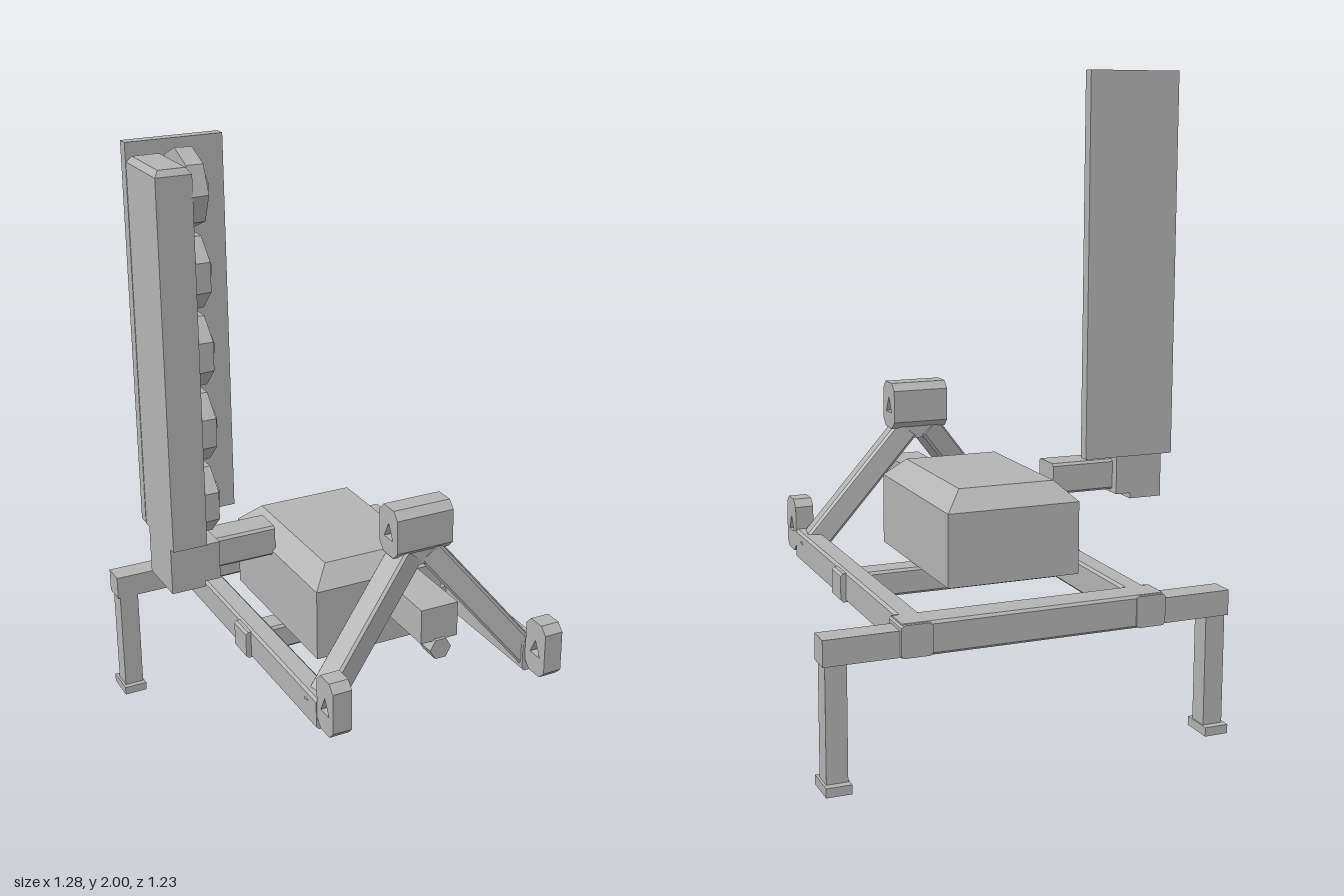
import * as THREE from 'three';

export function createModel() {
  const model = new THREE.Group();
  const steel = new THREE.MeshStandardMaterial({ color: 0xb4b4b4 });
  steel.name = 'greySteel';

  function add(name, geometry) {
    const mesh = new THREE.Mesh(geometry, steel);
    mesh.name = name;
    model.add(mesh);
    return mesh;
  }

  // Block given by its limits on each axis
  function block(name, x0, x1, y0, y1, z0, z1) {
    const mesh = add(name, new THREE.BoxGeometry(x1 - x0, y1 - y0, z1 - z0));
    mesh.position.set((x0 + x1) / 2, (y0 + y1) / 2, (z0 + z1) / 2);
    return mesh;
  }

  // Rectangle with cut corners
  function cutRect(w, h, c) {
    const a = w / 2, b = h / 2;
    return new THREE.Shape([
      [-a + c, -b], [a - c, -b], [a, -b + c], [a, b - c],
      [a - c, b], [-a + c, b], [-a, b - c], [-a, -b + c],
    ].map(([x, y]) => new THREE.Vector2(x, y)));
  }

  // Square tube with softened edges from one point to another
  function beam(name, from, to, w, h, c = 0.008) {
    const a = new THREE.Vector3(...from), b = new THREE.Vector3(...to);
    const mesh = add(name, new THREE.ExtrudeGeometry(cutRect(w, h, c),
      { depth: a.distanceTo(b), bevelEnabled: false }));
    mesh.position.copy(a);
    mesh.lookAt(b);
    return mesh;
  }

  // Hitch lug: rounded plate facing sideways with a triangular pin hole
  function lug(name, x, y, z, w, h, thick) {
    const shape = cutRect(w, h, 0.024);
    shape.holes.push(new THREE.Path([[0, 0.027], [-0.026, -0.024], [0.026, -0.024]]
      .map(([px, py]) => new THREE.Vector2(px, py))));
    const geo = new THREE.ExtrudeGeometry(shape, { depth: thick, bevelEnabled: false });
    geo.translate(0, 0, -thick / 2).rotateY(-Math.PI / 2);
    add(name, geo).position.set(x, y, z);
  }

  // Faceted cylinder lying along x
  function disc(name, r0, r1, x0, x1, y, z, sides, turn) {
    const geo = new THREE.CylinderGeometry(r1, r0, x1 - x0, sides).toNonIndexed();
    geo.computeVertexNormals();
    geo.rotateY(turn).rotateZ(-Math.PI / 2);
    add(name, geo).position.set((x0 + x1) / 2, y, z);
  }

  // Chassis: cross beams
  beam('rearBeam', [-0.41, 0.42, -0.56], [0.41, 0.42, -0.56], 0.1, 0.1);
  beam('middleBeam', [-0.4, 0.415, -0.003], [0.4, 0.415, -0.003], 0.085, 0.085);

  for (const s of [-1, 1]) {
    const side = s > 0 ? 'left' : 'right';
    // Side rails with sleeves at the joints
    beam(side + 'Rail', [s * 0.36, 0.42, -0.6], [s * 0.36, 0.42, 0.51], 0.07, 0.1);
    beam(side + 'MiddleSleeve', [s * 0.37, 0.418, -0.048], [s * 0.37, 0.418, 0.042], 0.085, 0.092);
    beam(side + 'RearSleeve', [s * 0.368, 0.42, -0.614], [s * 0.368, 0.42, -0.508], 0.095, 0.096);
    // Outrigger, leg and foot
    const xs = (a, b) => s > 0 ? [a, b] : [-b, -a];
    block(side + 'Outrigger', ...xs(0.38, 0.64), 0.372, 0.45, -0.6, -0.525);
    block(side + 'Leg', ...xs(0.568, 0.632), 0.02, 0.38, -0.592, -0.528);
    block(side + 'Foot', ...xs(0.563, 0.64), 0, 0.028, -0.615, -0.51);
    // Lower hitch and sloping A-frame strut
    lug(side + 'LowerLug', s * 0.363, 0.48, 0.565, 0.105, 0.18, 0.062);
    beam(side + 'Strut', [s * 0.362, 0.415, 0.465], [s * 0.035, 0.823, 0.398], 0.085, 0.08);
  }

  // Upper hitch
  lug('upperLug', 0, 0.903, 0.395, 0.11, 0.155, 0.19);
  block('strutBridge', -0.055, 0.055, 0.79, 0.835, 0.36, 0.435);

  // Housing with a tapered lid
  block('housing', -0.28, 0.155, 0.46, 0.69, -0.305, 0.285);
  const lid = new THREE.BoxGeometry(0.435, 0.06, 0.59).toNonIndexed();
  const p = lid.attributes.position;
  for (let i = 0; i < p.count; i++) {
    if (p.getY(i) > 0) p.setXYZ(i, p.getX(i) * 0.725, 0.03, p.getZ(i) * 0.79);
  }
  lid.computeVertexNormals();
  add('housingLid', lid).position.set(-0.0625, 0.72, -0.01);

  // Drive box and hexagonal shaft at the front
  block('driveBox', -0.064, 0.06, 0.588, 0.7, 0.27, 0.545);
  const shaft = new THREE.CylinderGeometry(0.036, 0.036, 0.07, 6).toNonIndexed();
  shaft.computeVertexNormals();
  shaft.rotateY(Math.PI / 6).rotateX(Math.PI / 2);
  add('driveShaft', shaft).position.set(-0.002, 0.562, 0.52);

  // Swing arm carrying the cutter column
  beam('swingArm', [-0.5, 0.725, -0.084], [-0.27, 0.725, -0.084], 0.105, 0.1);
  block('armFlange', -0.535, -0.48, 0.665, 0.79, -0.165, 0.015);
  block('columnBase', -0.64, -0.53, 0.647, 0.81, -0.165, 0.015);

  // Column with a softened top
  block('column', -0.64, -0.53, 0.8, 1.945, -0.19, 0.04);
  const cap = new THREE.BoxGeometry(0.11, 0.018, 0.23).toNonIndexed();
  const q = cap.attributes.position;
  for (let i = 0; i < q.count; i++) {
    if (q.getY(i) > 0) q.setXYZ(i, q.getX(i) * 0.75, 0.009, q.getZ(i) * 0.88);
  }
  cap.computeVertexNormals();
  add('columnCap', cap).position.set(-0.585, 1.954, -0.075);

  // Row of octagonal cutter discs with hubs
  for (let i = 0; i < 5; i++) {
    const y = 0.92 + i * 0.24;
    const turn = i === 4 ? 0 : Math.PI / 8;
    disc('cutterDisc' + (i + 1), 0.118, 0.116, -0.535, -0.482, y, -0.075, 8, turn);
    disc('cutterHub' + (i + 1), 0.042, 0.038, -0.49, -0.45, y, -0.075, 8, Math.PI / 8);
  }

  // Guard plate behind the discs
  block('guardPlate', -0.64, -0.338, 0.802, 2, -0.23, -0.194);

  return model;
}
